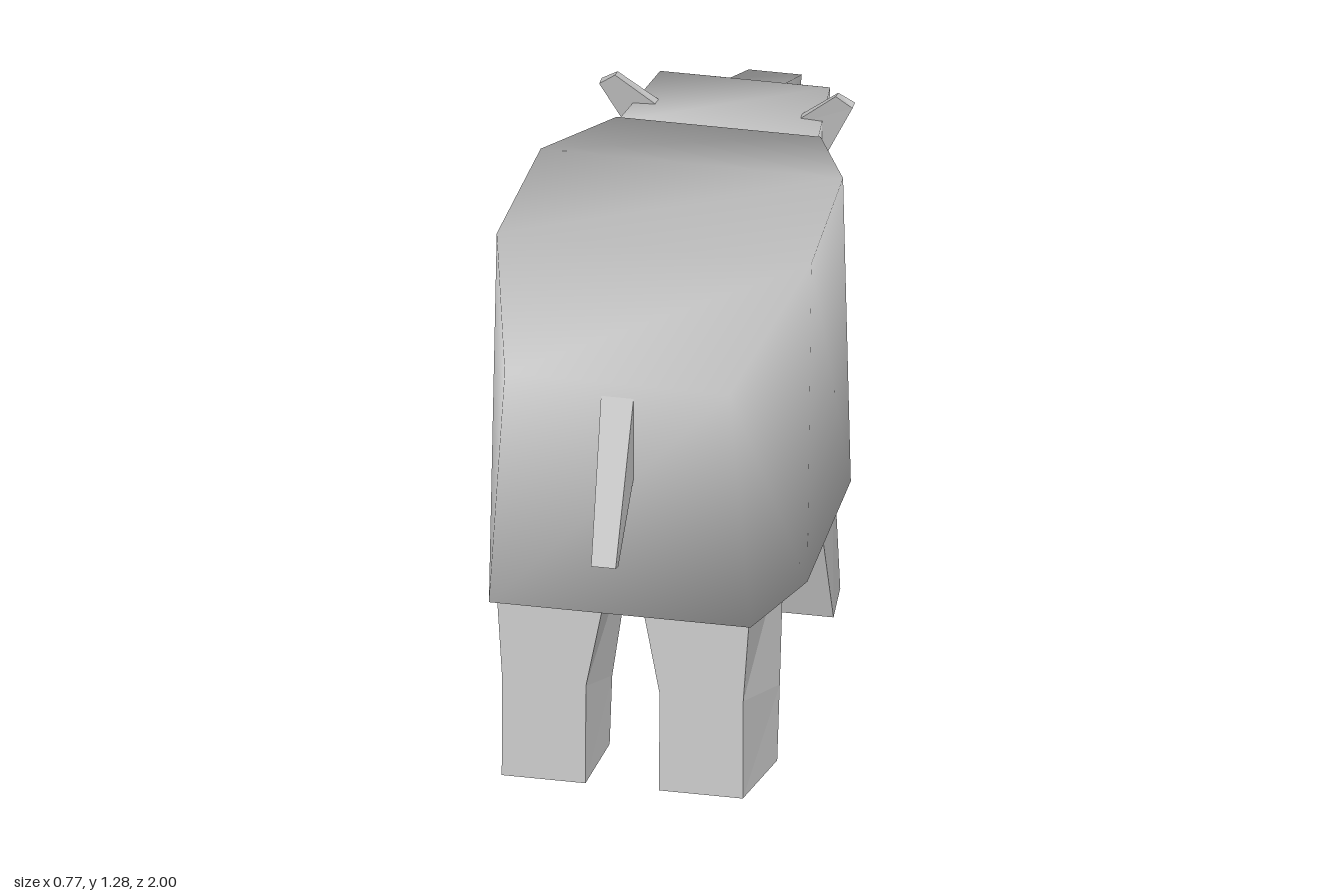
import * as THREE from 'three';

const smoothMat = new THREE.MeshStandardMaterial({ color: 0xcccccc });
const flatMat = new THREE.MeshStandardMaterial({ color: 0xcccccc, flatShading: true });

// Closed loft through four-cornered rings; rings run counter-clockwise seen from the first end.
function loft(name, rings, smooth) {
  const index = [];
  for (let r = 0; r < rings.length - 1; r++) {
    for (let i = 0; i < 4; i++) {
      const j = (i + 1) % 4;
      const a = r * 4, b = a + 4;
      index.push(a + j, a + i, b + i, a + j, b + i, b + j);
    }
  }
  const e = (rings.length - 1) * 4;
  index.push(0, 1, 2, 0, 2, 3, e, e + 2, e + 1, e, e + 3, e + 2);
  let geo = new THREE.BufferGeometry();
  geo.setAttribute('position', new THREE.Float32BufferAttribute(rings.flat(2), 3));
  geo.setIndex(index);
  if (!smooth) geo = geo.toNonIndexed();
  geo.computeVertexNormals();
  const mesh = new THREE.Mesh(geo, smooth ? smoothMat : flatMat);
  mesh.name = name;
  return mesh;
}

// Symmetric ring: z, y and half width of its top edge, then of its bottom edge.
const ring = ([zt, yt, wt, zb, yb, wb]) => [[wt, yt, zt], [-wt, yt, zt], [-wb, yb, zb], [wb, yb, zb]];

// Mirror rings across x = 0, reversing the corner order.
const mirror = (rings) => rings.map((r) => r.map(([x, y, z]) => [-x, y, z]).reverse());

export function createModel() {
  const model = new THREE.Group();
  model.name = 'animal';

  // Barrel body, rump to neck
  model.add(loft('body', [
    [0.84, 1.12, 0.275, 0.81, 0.48, 0.32],
    [0.41, 1.265, 0.385, 0.41, 0.405, 0.375],
    [-0.03, 1.27, 0.37, -0.12, 0.405, 0.37],
    [-0.34, 1.21, 0.25, -0.44, 0.71, 0.25],
  ].map(ring), true));

  // Head tapering to the snout
  model.add(loft('head', [
    [-0.33, 1.205, 0.245, -0.34, 0.6, 0.2],
    [-0.65, 1.18, 0.208, -0.57, 0.64, 0.2],
    [-0.8, 1.1, 0.068, -0.73, 0.79, 0.075],
    [-1, 1.02, 0.065, -0.94, 0.86, 0.06],
  ].map(ring), true));

  // Tail, tip to root
  model.add(loft('tail', [
    [1, 0.705, 0.03, 0.96, 0.69, 0.028],
    [0.835, 1.09, 0.04, 0.82, 0.87, 0.038],
  ].map(ring), false));

  // Paired parts: built on the +x side and mirrored
  const pairs = {
    hindLeg: [
      [[0.295, 0, 0.78], [0.09, 0, 0.78], [0.075, 0, 0.57], [0.335, 0, 0.57]],
      [[0.295, 0.26, 0.775], [0.09, 0.26, 0.775], [0.075, 0.17, 0.54], [0.335, 0.19, 0.54]],
      [[0.31, 0.5, 0.77], [0.045, 0.5, 0.77], [0.045, 0.5, 0.42], [0.32, 0.5, 0.42]],
    ],
    frontLeg: [
      [[0.315, 0, -0.18], [0.085, 0, -0.18], [0.1, 0, -0.33], [0.3, 0, -0.33]],
      [[0.3, 0.41, -0.05], [0.055, 0.41, -0.05], [0.08, 0.41, -0.335], [0.28, 0.41, -0.335]],
      [[0.22, 0.63, -0.1], [0.06, 0.63, -0.1], [0.08, 0.63, -0.34], [0.22, 0.63, -0.34]],
    ],
    ear: [
      [[0.22, 1.06, -0.48], [0.15, 1.17, -0.46], [0.15, 1.17, -0.49], [0.22, 1.06, -0.53]],
      [[0.31, 1.25, -0.425], [0.27, 1.28, -0.42], [0.27, 1.275, -0.45], [0.31, 1.25, -0.455]],
    ],
  };
  for (const [name, rings] of Object.entries(pairs)) {
    model.add(loft(name + 'Left', rings, false));
    model.add(loft(name + 'Right', mirror(rings), false));
  }
  return model;
}
